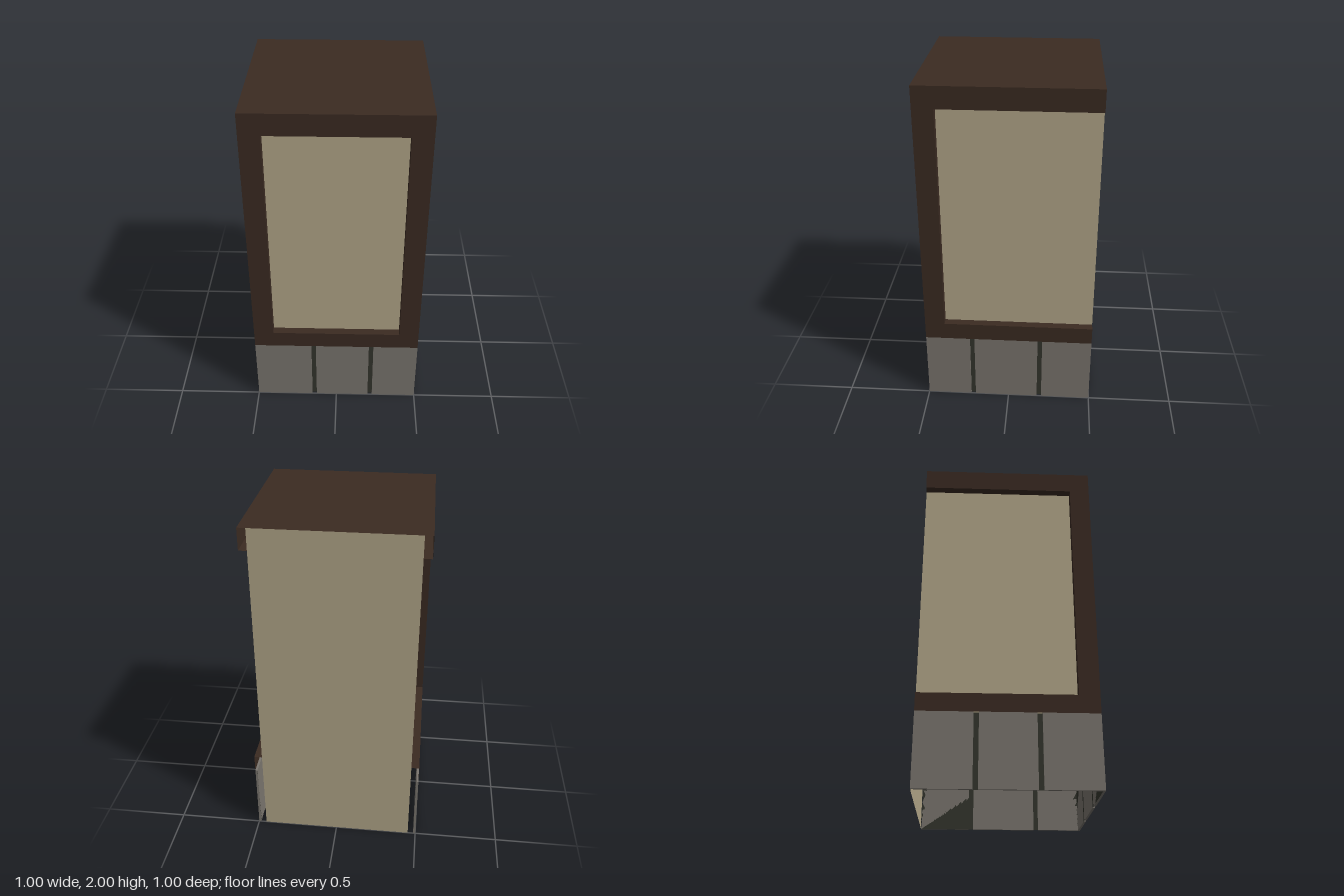
import * as THREE from 'three';

const make = (color) => new THREE.MeshStandardMaterial({ color, side: THREE.DoubleSide });

export function createModel() {
  const timber = make(0x3b2b22); timber.name = 'dark timber';
  const plaster = make(0xb4a88a); plaster.name = 'beige plaster';
  const stone = make(0x7b766f); stone.name = 'grey stone';
  const mortar = make(0x34352d); mortar.name = 'dark mortar';

  const model = new THREE.Group();
  model.name = 'timberWallBlock';

  const HALF = 0.5, TOP = 2, BASE = 0.42;
  const SILL = 0.525, LINTEL = 1.875, POST = 0.383; // edges of the opening
  const INSET = 0.453;                              // depth of the plaster
  const BED = 0.487, JOINT = 0.028;                 // mortar plane and joint width

  function add(parent, name, geometry, material, x, y, z) {
    const mesh = new THREE.Mesh(geometry, material);
    mesh.name = name;
    mesh.position.set(x, y, z);
    parent.add(mesh);
    return mesh;
  }

  // Flat sheet facing +z between two corners
  function sheet(parent, name, material, x0, x1, y0, y1, z) {
    return add(parent, name, new THREE.PlaneGeometry(x1 - x0, y1 - y0), material,
      (x0 + x1) / 2, (y0 + y1) / 2, z);
  }

  // One wall facing +z, turned into place; u0..u1 is its opening
  function wall(name, turn, u0, u1, joints) {
    const g = new THREE.Group();
    g.name = name;
    g.rotation.y = turn;
    model.add(g);

    // Timber face around the opening
    sheet(g, 'lintel', timber, -HALF, HALF, LINTEL, TOP, HALF);
    sheet(g, 'sill', timber, -HALF, HALF, BASE, SILL, HALF);
    if (u0 > -HALF) sheet(g, 'post', timber, -HALF, u0, SILL, LINTEL, HALF);
    if (u1 < HALF) sheet(g, 'post', timber, u1, HALF, SILL, LINTEL, HALF);

    // Reveals running back to the plaster
    const depth = HALF - INSET, mid = (HALF + INSET) / 2;
    for (const [y, tilt] of [[SILL, -1], [LINTEL, 1]]) {
      add(g, 'reveal', new THREE.PlaneGeometry(u1 - u0, depth), timber,
        (u0 + u1) / 2, y, mid).rotation.x = tilt * Math.PI / 2;
    }
    for (const [u, dir] of [[u0, 1], [u1, -1]]) {
      if (Math.abs(u) === HALF) continue;
      add(g, 'reveal', new THREE.PlaneGeometry(depth, LINTEL - SILL), timber,
        u, (SILL + LINTEL) / 2, mid).rotation.y = dir * Math.PI / 2;
    }
    sheet(g, 'plasterPanel', plaster, u0, u1, SILL, LINTEL, INSET);

    // Stone footing: slabs in front of a mortar bed
    const reach = turn === 0 ? BED : HALF;
    sheet(g, 'mortarBed', mortar, -reach, reach, 0, BASE, BED);
    const edges = [-HALF - JOINT / 2, ...joints, HALF + JOINT / 2];
    for (let i = 0; i < edges.length - 1; i++) {
      const a = edges[i] + JOINT / 2, b = edges[i + 1] - JOINT / 2;
      add(g, 'stoneSlab', new THREE.BoxGeometry(b - a, BASE, HALF - BED), stone,
        (a + b) / 2, BASE / 2, (HALF + BED) / 2);
    }
  }

  wall('frontWall', 0, -POST, POST, [-0.14, 0.215]);
  wall('leftWall', Math.PI / 2, -POST, HALF, [-0.22, 0.19]);
  wall('rightWall', -Math.PI / 2, -HALF, POST, [-0.17, 0.17]);

  // Plain plaster back
  sheet(model, 'backPanel', plaster, -INSET, INSET, 0, TOP, -HALF).rotation.y = Math.PI;

  // Flat timber top
  add(model, 'topCap', new THREE.PlaneGeometry(1, 1), timber, 0, TOP, 0).rotation.x = -Math.PI / 2;

  return model;
}
